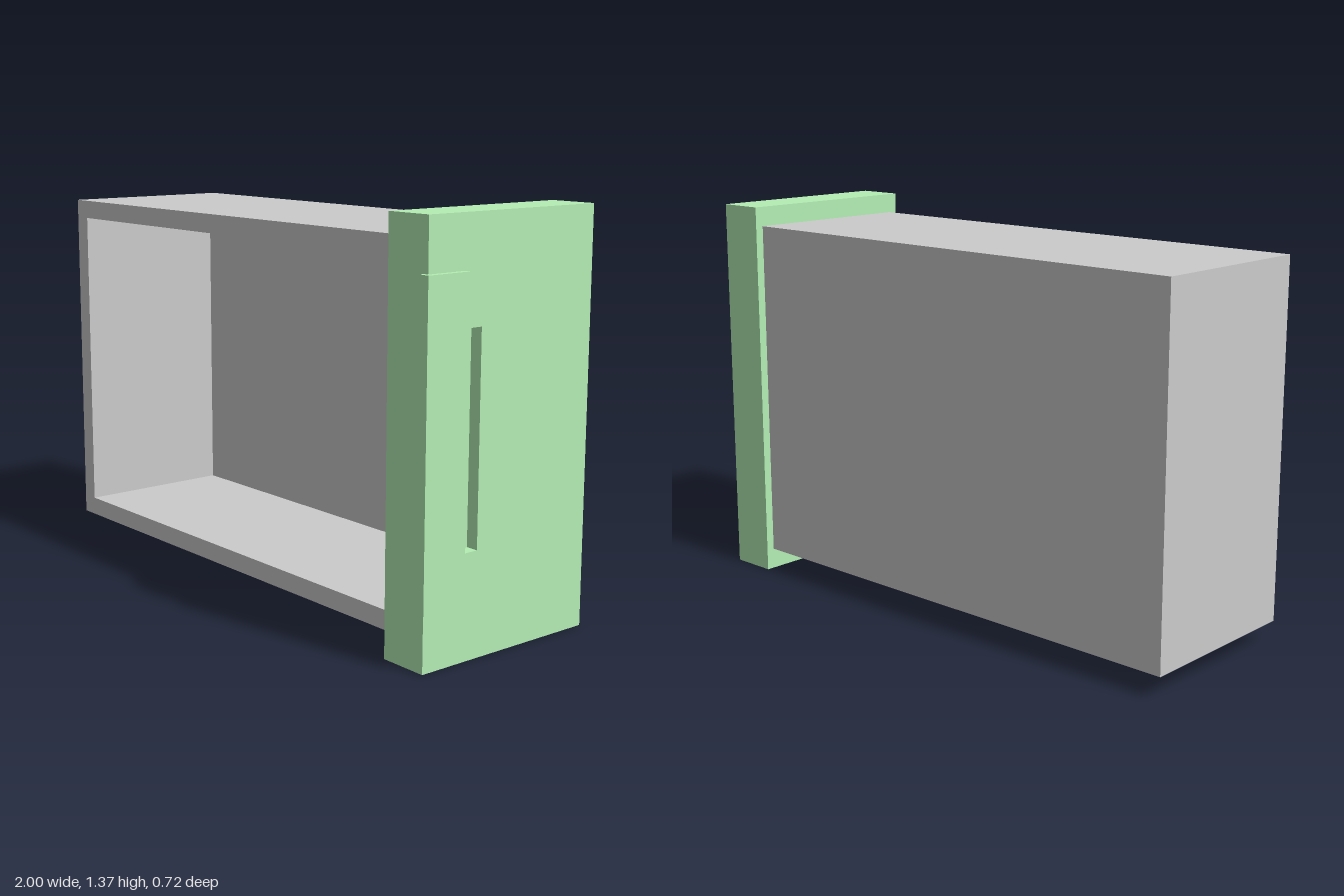
import * as THREE from 'three';

const grey = new THREE.MeshStandardMaterial({ color: 0xcccccc });
const green = new THREE.MeshStandardMaterial({ color: 0xb4eeb4 });

function add(group, name, geometry, material) {
  const mesh = new THREE.Mesh(geometry, material);
  mesh.name = name;
  group.add(mesh);
}

// Box given by its extents along each axis
function block([x0, x1], [y0, y1], [z0, z1]) {
  return new THREE.BoxGeometry(x1 - x0, y1 - y0, z1 - z0)
    .translate((x0 + x1) / 2, (y0 + y1) / 2, (z0 + z1) / 2);
}

const points = (list) => list.map(([x, y]) => new THREE.Vector2(x, y));
const rect = (x0, x1, y0, y1) => points([[x0, y0], [x1, y0], [x1, y1], [x0, y1]]);

export function createModel() {
  const model = new THREE.Group();
  model.name = 'drawer';

  const left = -1, seam = 0.81, low = 0.075, high = 1.3, wall = 0.065;
  const back = -0.33, rim = 0.305, bottom = back + wall;

  // Three walls of the tray; the front panel closes the fourth side
  const walls = new THREE.Shape(points([
    [left, low], [seam, low], [seam, low + wall], [left + wall, low + wall],
    [left + wall, high - wall], [seam, high - wall], [seam, high], [left, high],
  ]));
  add(model, 'trayWalls', new THREE.ExtrudeGeometry(walls, { depth: rim - bottom, bevelEnabled: false })
    .translate(0, 0, bottom), grey);
  add(model, 'trayBottom', block([left, seam], [low, high], [back, bottom]), grey);

  // Front panel: solid core and an outer layer with the finger recess cut through it
  const face = 0.98, recessFloor = 0.937;
  add(model, 'frontPanelCore', block([seam, recessFloor], [0, 1.37], [-0.36, 0.34]), green);
  const layer = new THREE.Shape(rect(-0.34, 0.36, 0, 1.37));
  layer.holes.push(new THREE.Path(rect(-0.29, -0.12, 0.345, 1.03)));
  add(model, 'frontPanelFace', new THREE.ExtrudeGeometry(layer, { depth: face - recessFloor, bevelEnabled: false })
    .rotateY(Math.PI / 2).translate(recessFloor, 0, 0), green);

  // Pull plate partly covering the recess and overhanging the panel edge
  add(model, 'pullPlate', block([0.963, 1], [0.175, 1.2], [0.19, 0.358]), green);

  return model;
}
